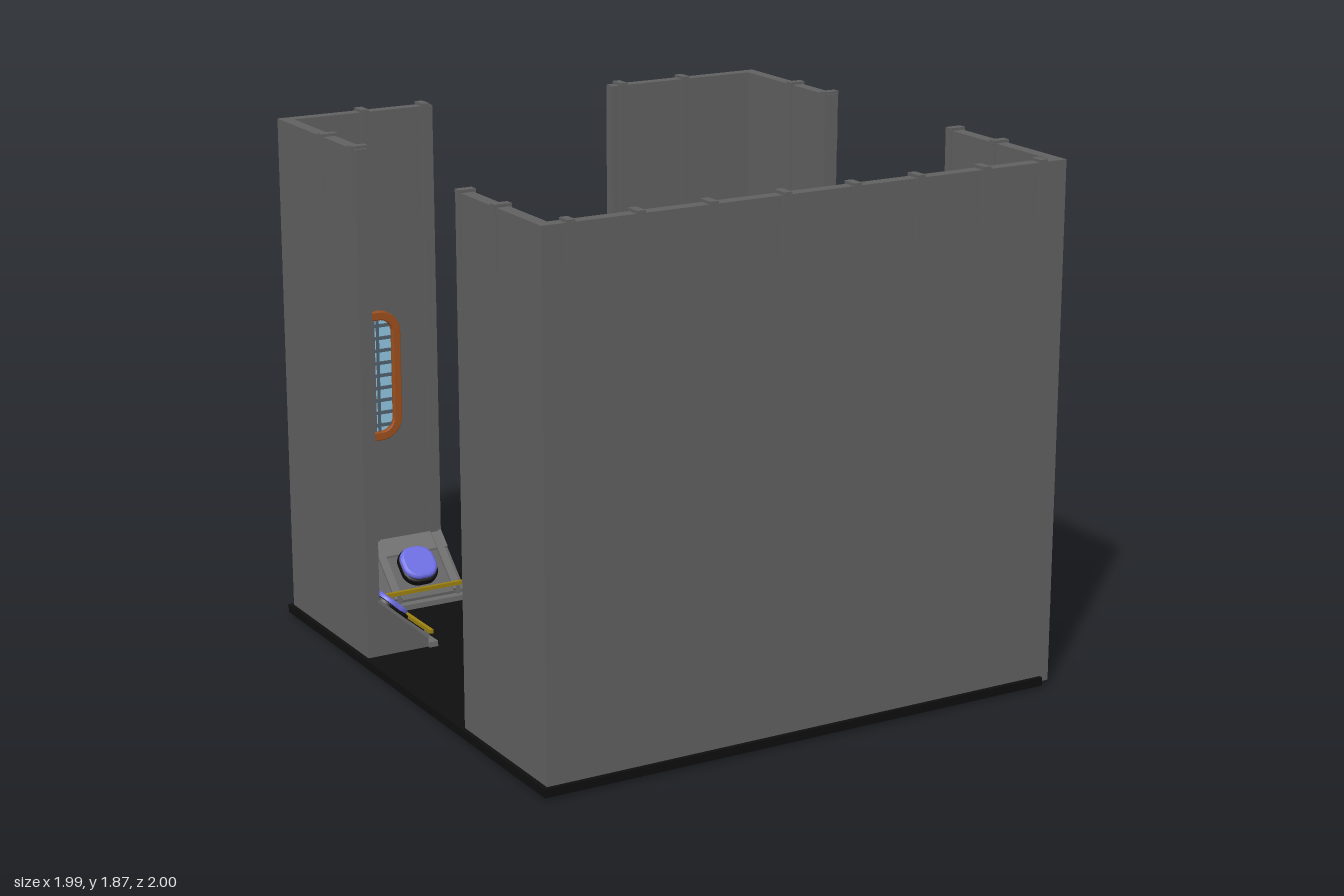
import * as THREE from 'three';

const mat = (color) => new THREE.MeshStandardMaterial({ color });
const M = {
  wall: mat(0x606060), trim: mat(0x6c6c6c), black: mat(0x0e0e0e), blue: mat(0x6a6ae0),
  yellow: mat(0x9a8010), orange: mat(0x9a4e1c), glass: mat(0x8fc4e0), bar: mat(0x50606c),
};

function mesh(name, geo, material, parent, x = 0, y = 0, z = 0) {
  const m = new THREE.Mesh(geo, material);
  m.name = name;
  m.position.set(x, y, z);
  parent.add(m);
  return m;
}
const box = (name, w, h, d, material, parent, x, y, z) =>
  mesh(name, new THREE.BoxGeometry(w, h, d), material, parent, x, y, z);

// Ground paths round the room: each station turns a distance d from the centre into [x, z].
// The extra length e lets rails overshoot the walls.
const paths = (e) => [
  [(d) => [-d, 0.41 - e], (d) => [-d, d], (d) => [d, d], (d) => [d, 0.36 - e]],
  [(d) => [d, -0.39 + e], (d) => [d, -d], (d) => [0.345 - e, -d]],
  [(d) => [-0.4 + e, -d], (d) => [-d, -d], (d) => [-d, -0.34 + e]],
];

// Sweeps a convex counter-clockwise profile of [d, y] along a path with mitred corners.
function sweep(profile, path) {
  const rings = path.map((f) => profile.map(([d, y]) => {
    const [x, z] = f(d);
    return [x, y, z];
  }));
  const v = [];
  const tri = (a, b, c) => v.push(...a, ...b, ...c);
  const n = profile.length;
  for (let i = 0; i < rings.length - 1; i++) {
    for (let j = 0; j < n; j++) {
      const k = (j + 1) % n, p = rings[i], q = rings[i + 1];
      tri(p[j], q[j], p[k]);
      tri(p[k], q[j], q[k]);
    }
  }
  const s = rings[0], e = rings[rings.length - 1];
  for (let j = 1; j < n - 1; j++) {
    tri(s[0], s[j], s[j + 1]);
    tri(e[0], e[j + 1], e[j]);
  }
  const g = new THREE.BufferGeometry();
  g.setAttribute('position', new THREE.Float32BufferAttribute(v, 3));
  g.computeVertexNormals();
  return g;
}

function roundedRect(w, h, r, Type = THREE.Shape) {
  const s = new Type(), x = w / 2, y = h / 2;
  s.moveTo(-x + r, -y);
  s.lineTo(x - r, -y);
  s.absarc(x - r, -y + r, r, -Math.PI / 2, 0);
  s.absarc(x - r, y - r, r, 0, Math.PI / 2);
  s.absarc(-x + r, y - r, r, Math.PI / 2, Math.PI);
  s.absarc(-x + r, -y + r, r, Math.PI, Math.PI * 1.5);
  return s;
}

// Rounded plate lying flat, with its base at y = 0
function plate(w, d, r, h, bevel = 0.008) {
  const g = new THREE.ExtrudeGeometry(roundedRect(w - 2 * bevel, d - 2 * bevel, r - bevel), {
    depth: h - bevel, bevelThickness: bevel, bevelSize: bevel, bevelSegments: 3, curveSegments: 8,
  });
  return g.rotateX(-Math.PI / 2);
}

// Side frames: local +z points out of the room, local x runs along the wall
const TURN = { front: 0, right: Math.PI / 2, back: Math.PI, left: -Math.PI / 2 };
const ALONG = { front: 1, right: -1, back: -1, left: 1 };
const SLOPE = Math.atan2(0.17, 0.19);

function station(name, side, t, parent) {
  const turn = new THREE.Group();
  turn.rotation.y = TURN[side];
  parent.add(turn);
  const g = new THREE.Group();
  g.name = name;
  g.position.x = t * ALONG[side];
  turn.add(g);
  return g;
}

// Frame lying on the sloping console face, y along its normal
function onSlope(parent) {
  const g = new THREE.Group();
  g.position.set(0, 0.155, 0.845);
  g.rotation.x = -SLOPE;
  parent.add(g);
  return g;
}

function rib(side, t, parent) {
  const g = station('wallRib', side, t, parent);
  box('ribInside', 0.03, 1.62, 0.012, M.wall, g, 0, 1.05, 0.938);
  box('ribCap', 0.03, 0.012, 0.06, M.wall, g, 0, 1.862, 0.962);
  box('ribOutside', 0.03, 0.22, 0.008, M.wall, g, 0, 1.755, 0.986);
  box('consoleRib', 0.03, 0.016, 0.25, M.trim, onSlope(g), 0, 0.002, 0);
}

function screenPad(side, t, parent) {
  const g = onSlope(station('screenPad', side, t, parent));
  mesh('padBase', plate(0.14, 0.15, 0.055, 0.025), M.black, g, 0, 0, -0.005);
  mesh('padScreen', plate(0.135, 0.135, 0.055, 0.02, 0.012), M.blue, g, 0, 0.02, 0);
}

function scope(t, parent) {
  const g = onSlope(station('scope', 'front', t, parent));
  mesh('scopeBase', plate(0.14, 0.15, 0.06, 0.025), M.trim, g);
  mesh('scopeFoot', plate(0.11, 0.12, 0.05, 0.05), M.black, g);
  mesh('scopeBody', new THREE.CapsuleGeometry(0.045, 0.07, 6, 16), M.black, g, 0, 0.08, 0);
  box('scopeHead', 0.055, 0.05, 0.05, M.black, g, 0, 0.14, 0);
  box('scopeLens', 0.04, 0.03, 0.035, M.blue, g, 0, 0.165, -0.005);
}

function windowPanel(x, parent) {
  const g = new THREE.Group(), w = 0.28, h = 0.48;
  g.name = 'window';
  g.position.set(x, 0.88, -0.945);
  parent.add(g);
  const ring = roundedRect(w, h, 0.08);
  ring.holes.push(roundedRect(w - 0.05, h - 0.05, 0.055, THREE.Path));
  mesh('windowFrame', new THREE.ExtrudeGeometry(ring, {
    depth: 0.02, bevelThickness: 0.005, bevelSize: 0.004, bevelSegments: 2,
  }), M.orange, g);
  mesh('windowGlass', new THREE.ExtrudeGeometry(roundedRect(w - 0.04, h - 0.04, 0.06),
    { depth: 0.008, bevelEnabled: false }), M.glass, g);
  for (let i = -1; i <= 1; i++) box('windowBar', 0.01, h - 0.05, 0.008, M.bar, g, i * 0.057, 0, 0.01);
  for (let i = -4; i <= 4; i++) {
    box('windowBar', w - (Math.abs(i) === 4 ? 0.07 : 0.05), 0.012, 0.008, M.bar, g, 0, i * 0.047, 0.01);
  }
}

export function createModel() {
  const root = new THREE.Group();
  root.name = 'controlRoom';

  // Floor slab
  box('floor', 1.95, 0.03, 2, M.black, root, -0.025, 0.025, 0);

  // Walls, consoles, kerbs and rails, open at the back and both sides
  const runs = [
    ['wall', [[0.94, 0.02], [0.985, 0.02], [0.985, 1.858], [0.94, 1.858]], M.wall, 0],
    ['console', [[0.75, 0.035], [0.945, 0.035], [0.945, 0.24], [0.94, 0.24], [0.75, 0.07]], M.wall, 0],
    ['kerb', [[0.718, 0.035], [0.752, 0.035], [0.752, 0.06], [0.718, 0.06]], M.trim, 0.012],
    ['rail', [[0.738, 0.094], [0.752, 0.094], [0.752, 0.108], [0.738, 0.108]], M.yellow, 0.018],
    ['consoleLip', [[0.885, 0.19], [0.942, 0.241], [0.942, 0.25], [0.885, 0.199]], M.trim, 0],
  ];
  for (const [name, profile, material, extra] of runs) {
    for (const path of paths(extra)) mesh(name, sweep(profile, path), material, root);
  }

  // Ribs and rail posts at the panel joints
  const joints = {
    front: [-0.64, -0.38, -0.11, 0.155, 0.4, 0.66],
    right: [-0.64, -0.41, 0.385, 0.64],
    back: [-0.67, -0.43, 0.39, 0.66],
    left: [-0.61, -0.365, 0.435, 0.68],
  };
  for (const [side, list] of Object.entries(joints)) {
    for (const t of list) {
      rib(side, t, root);
      box('railPost', 0.014, 0.06, 0.012, M.trim, station('railPostGroup', side, t, root), 0, 0.07, 0.745);
    }
  }
  // Straps on the outer front face near the corners
  for (const x of [-0.885, 0.89]) {
    box('cornerStrap', 0.03, 0.225, 0.05, M.wall, root, x, 1.755, 0.965);
  }

  // Screens on the side and back consoles, scopes on the front console
  const pads = { left: [-0.49, 0.55], right: [-0.54, 0.51], back: [-0.55, 0.5] };
  for (const [side, list] of Object.entries(pads)) {
    for (const t of list) {
      screenPad(side, t, root);
      box('underFoot', 0.1, 0.01, 0.02, M.black, station('footGroup', side, t, root), 0, 0.005, 0.86);
    }
  }
  for (const x of [-0.51, 0.01, 0.53]) {
    scope(x, root);
    box('underFoot', 0.1, 0.01, 0.02, M.black, root, x, 0.005, 0.86);
  }

  // Windows on the back wall
  windowPanel(-0.7, root);
  windowPanel(0.66, root);
  return root;
}
